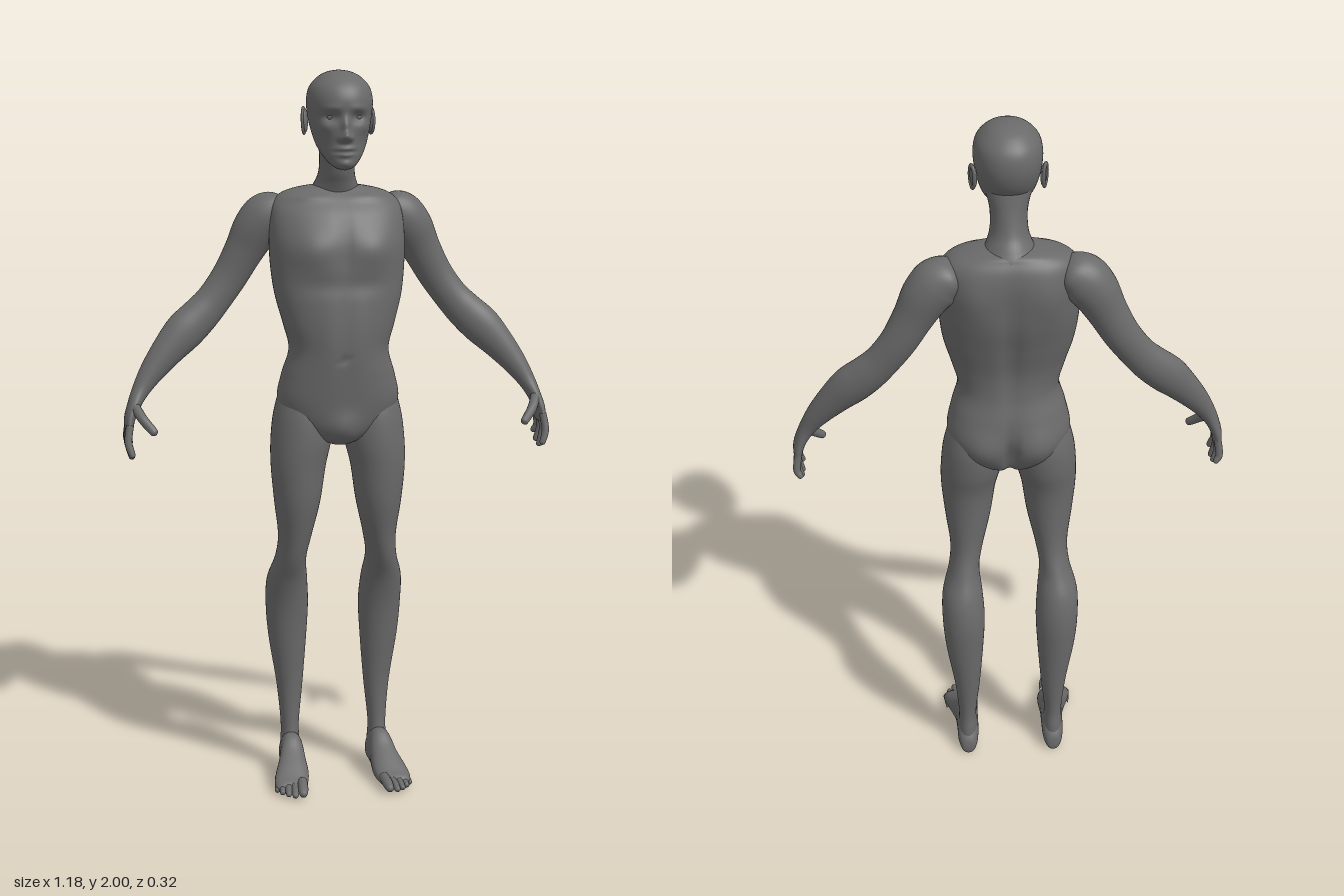
import * as THREE from 'three';

const skin = new THREE.MeshStandardMaterial({ color: 0x6a6a6a });
skin.name = 'grey skin';

// Smooth in-between rows through the given cross-sections
function resample(rows, steps) {
  const out = [];
  const at = (i) => rows[Math.max(0, Math.min(rows.length - 1, i))];
  for (let i = 0; i < rows.length - 1; i++) {
    for (let s = 0; s < steps; s++) {
      const t = s / steps;
      out.push(rows[i].map((p1, k) => {
        const p0 = at(i - 1)[k], p2 = at(i + 1)[k], p3 = at(i + 2)[k];
        return p1 + 0.5 * t * (p2 - p0 + t * (2 * p0 - 5 * p1 + 4 * p2 - p3 + t * (3 * (p1 - p2) + p3 - p0)));
      }));
    }
  }
  out.push(rows[rows.length - 1]);
  return out;
}

// Skin over cross-sections [x, y, z, radiusU, radiusV].
// axis fixes the ring direction; otherwise rings follow the path.
// bumps [x, y, side, sizeX, sizeY, height] push the front (1) or back (-1) along z.
function loft(name, rows, { steps = 6, seg = 32, ref = [0, 0, 1], axis = null, square = 1, bumps = [] } = {}) {
  const rings = resample(rows, steps);
  const pos = [], index = [];
  const T = new THREE.Vector3(), U = new THREE.Vector3(), V = new THREE.Vector3(), p = new THREE.Vector3();
  const soft = (v) => Math.sign(v) * Math.pow(Math.abs(v), square);
  rings.forEach((r, i) => {
    if (axis) T.set(...axis);
    else {
      const a = rings[Math.max(0, i - 1)], b = rings[Math.min(rings.length - 1, i + 1)];
      T.set(b[0] - a[0], b[1] - a[1], b[2] - a[2]).normalize();
    }
    U.crossVectors(T, V.set(...ref)).normalize();
    V.crossVectors(U, T);
    for (let j = 0; j < seg; j++) {
      const th = (j / seg) * Math.PI * 2, c = soft(Math.cos(th)), s = soft(Math.sin(th));
      p.set(r[0], r[1], r[2]).addScaledVector(U, Math.max(0, r[3]) * c).addScaledVector(V, Math.max(0, r[4]) * s);
      let push = 0;
      for (const [bx, by, side, sx, sy, h] of bumps) {
        const facing = Math.min(1, Math.max(0, side * s * 2));
        push += side * h * facing * Math.exp(-(((Math.abs(p.x) - bx) / sx) ** 2) - ((p.y - by) / sy) ** 2);
      }
      pos.push(p.x, p.y, p.z + push);
      if (i < rings.length - 1) {
        const k = (j + 1) % seg, a = i * seg + j, b = a + seg, d = i * seg + k, e = d + seg;
        index.push(a, b, d, b, e, d);
      }
    }
  });
  const g = new THREE.BufferGeometry();
  g.setAttribute('position', new THREE.Float32BufferAttribute(pos, 3));
  g.setIndex(index);
  g.computeVertexNormals();
  const m = new THREE.Mesh(g, skin);
  m.name = name;
  return m;
}

// Upright part from rows [y, innerX, outerX, frontZ, backZ]
const upright = (name, rows, opts) => loft(name,
  rows.map(([y, xi, xo, f, b]) => [(xi + xo) / 2, y, (f + b) / 2, Math.abs(xo - xi) / 2, (f - b) / 2]),
  { axis: [0, 1, 0], ...opts });
const centred = (rows) => rows.map(([y, w, f, b]) => [y, -w, w, f, b]);

// Finger or toe: a tapered tube with a round tip
function digit(name, points, r, ref) {
  const [a, b, c] = points;
  const end = new THREE.Vector3(...c), dir = end.clone().sub(new THREE.Vector3(...b)).normalize();
  const step = (d) => end.clone().addScaledVector(dir, d).toArray();
  return loft(name, [
    [...a, r, r], [...b, r, r], [...step(-r), r * 0.85, r * 0.85],
    [...step(-r * 0.3), r * 0.6, r * 0.6], [...c, 0, 0],
  ], { steps: 4, seg: 12, ref });
}

function buildTorso() {
  return upright('torso', centred([
    [0.98, 0, 0.01, 0], [0.99, 0.035, 0.055, -0.05], [1.01, 0.08, 0.078, -0.09], [1.05, 0.14, 0.09, -0.113],
    [1.11, 0.168, 0.1, -0.125], [1.18, 0.156, 0.108, -0.122], [1.25, 0.137, 0.113, -0.108],
    [1.32, 0.153, 0.113, -0.107], [1.4, 0.174, 0.108, -0.125], [1.48, 0.184, 0.102, -0.145],
    [1.55, 0.186, 0.095, -0.152], [1.61, 0.183, 0.07, -0.154], [1.65, 0.172, 0.038, -0.148],
    [1.675, 0.14, 0.01, -0.135], [1.69, 0.08, -0.01, -0.12], [1.697, 0, -0.06, -0.07],
  ]), {
    steps: 7, seg: 72, square: 0.85,
    bumps: [
      [0.085, 1.52, 1, 0.06, 0.05, 0.014], // chest muscles
      [0, 1.54, 1, 0.015, 0.08, -0.006],
      [0.05, 1.43, 1, 0.07, 0.025, -0.005],
      [0.04, 1.3, 1, 0.03, 0.12, 0.004], // stomach
      [0, 1.23, 1, 0.009, 0.009, -0.008], // navel
      [0, 1.04, 1, 0.04, 0.04, 0.016], // groin
      [0.085, 1.665, 1, 0.06, 0.012, 0.008], // collarbones
      [0.1, 1.57, -1, 0.05, 0.07, 0.012], // shoulder blades
      [0, 1.42, -1, 0.022, 0.18, -0.013], // spine
      [0.08, 1.09, -1, 0.06, 0.065, 0.022], // buttocks
      [0, 1.06, -1, 0.014, 0.07, -0.03],
    ],
  });
}

function buildHead() {
  const head = new THREE.Group();
  head.name = 'head';
  head.add(upright('skull and face', centred([
    [1.738, 0, 0.105, 0.095], [1.745, 0.024, 0.117, 0.07], [1.765, 0.045, 0.122, 0.025],
    [1.8, 0.065, 0.122, -0.03], [1.84, 0.077, 0.124, -0.07], [1.88, 0.085, 0.124, -0.09],
    [1.92, 0.088, 0.127, -0.095], [1.955, 0.08, 0.112, -0.086], [1.982, 0.056, 0.08, -0.06],
    [1.995, 0.03, 0.045, -0.03], [2.0, 0, 0.008, 0.002],
  ]), {
    steps: 9, seg: 112, square: 0.93,
    bumps: [
      [0, 1.827, 1, 0.012, 0.013, 0.028], [0, 1.855, 1, 0.01, 0.022, 0.016], [0.013, 1.822, 1, 0.007, 0.007, 0.011], // nose
      [0.036, 1.876, 1, 0.02, 0.013, -0.014], [0.036, 1.9, 1, 0.026, 0.009, 0.004], // sockets and brows
      [0, 1.795, 1, 0.023, 0.006, 0.009], [0, 1.779, 1, 0.02, 0.006, 0.008], [0, 1.787, 1, 0.026, 0.003, -0.005], // lips
      [0, 1.755, 1, 0.022, 0.011, 0.006], // chin
      [0.055, 1.81, 1, 0.02, 0.025, -0.006], [0.055, 1.85, 1, 0.018, 0.014, 0.005], // cheeks
    ],
  }));
  head.add(upright('neck', centred([
    [1.62, 0.1, -0.01, -0.14], [1.67, 0.075, 0.008, -0.135], [1.7, 0.058, 0.02, -0.118],
    [1.73, 0.049, 0.033, -0.096], [1.78, 0.049, 0.042, -0.079], [1.84, 0.06, 0.03, -0.066], [1.88, 0.05, 0.02, -0.06],
  ])));
  for (const s of [1, -1]) {
    const eye = new THREE.Mesh(new THREE.SphereGeometry(0.013, 20, 14), skin);
    eye.name = 'eye';
    eye.position.set(s * 0.036, 1.877, 0.091);
    const ear = new THREE.Group();
    ear.name = 'ear';
    const lobe = new THREE.Mesh(new THREE.SphereGeometry(1, 20, 14), skin);
    lobe.scale.set(0.007, 0.033, 0.018);
    const rim = new THREE.Mesh(new THREE.TorusGeometry(0.016, 0.0045, 8, 28), skin);
    rim.rotation.y = Math.PI / 2;
    rim.scale.y = 1.9;
    rim.position.x = s * 0.004;
    ear.add(lobe, rim);
    ear.position.set(s * 0.088, 1.866, -0.016);
    ear.rotation.set(-0.15, s * 0.35, 0);
    head.add(eye, ear);
  }
  return head;
}

function buildArm(s) {
  const arm = new THREE.Group();
  arm.name = s > 0 ? 'leftArm' : 'rightArm';
  const flip = ([x, ...rest]) => [s * x, ...rest];
  arm.add(loft('arm and palm', [
    [0.125, 1.635, -0.085, 0, 0], [0.14, 1.63, -0.085, 0.04, 0.05], [0.18, 1.61, -0.085, 0.065, 0.062],
    [0.215, 1.572, -0.088, 0.064, 0.06], [0.25, 1.51, -0.092, 0.054, 0.048], [0.29, 1.44, -0.094, 0.049, 0.041],
    [0.335, 1.378, -0.088, 0.048, 0.038], [0.375, 1.335, -0.08, 0.052, 0.04], [0.42, 1.293, -0.068, 0.054, 0.041],
    [0.465, 1.245, -0.055, 0.045, 0.036], [0.51, 1.19, -0.041, 0.034, 0.03], [0.543, 1.14, -0.028, 0.024, 0.027],
    [0.563, 1.1, -0.017, 0.018, 0.036], [0.575, 1.065, -0.01, 0.015, 0.044], [0.577, 1.035, -0.006, 0.01, 0.042],
    [0.577, 1.025, -0.006, 0, 0],
  ].map(flip)));
  // Four fingers: base z, tip z, tip height
  [[-0.042, -0.058, 0.985], [-0.017, -0.022, 0.965], [0.008, 0.015, 0.957], [0.031, 0.05, 0.968]].forEach(([z0, z1, y]) => {
    arm.add(digit('finger', [[0.576, 1.055, z0], [0.582, 1.01, (z0 + z1) / 2], [0.57, y, z1]].map(flip), 0.0105, [0, 0, 1]));
  });
  arm.add(digit('thumb', [[0.562, 1.105, 0], [0.543, 1.075, 0.042], [0.508, 1.035, 0.075]].map(flip), 0.0135, [0, 1, 0]));
  return arm;
}

function buildLeg(s) {
  const leg = new THREE.Group();
  leg.name = s > 0 ? 'leftLeg' : 'rightLeg';
  const flip = ([x, ...rest]) => [s * x, ...rest];
  leg.add(upright('leg', [
    [0.03, 0.1, 0.156, -0.05, -0.138], [0.08, 0.1, 0.156, -0.048, -0.135], [0.14, 0.102, 0.154, -0.06, -0.13],
    [0.26, 0.09, 0.165, -0.06, -0.142], [0.4, 0.079, 0.187, -0.045, -0.156], [0.5, 0.074, 0.195, -0.03, -0.161],
    [0.58, 0.079, 0.193, -0.007, -0.148], [0.65, 0.086, 0.173, 0.025, -0.115], [0.72, 0.074, 0.167, 0.046, -0.092],
    [0.82, 0.051, 0.179, 0.07, -0.088], [0.92, 0.036, 0.188, 0.08, -0.094], [1.0, 0.018, 0.187, 0.083, -0.112],
    [1.08, 0.018, 0.176, 0.075, -0.115], [1.15, 0.03, 0.15, 0.05, -0.09], [1.18, 0.085, 0.095, 0, -0.01],
  ].map(([y, a, b, f, k]) => [y, s * a, s * b, f, k]), { seg: 40 }));
  // Foot rows: x, z, half width, top height
  leg.add(loft('foot', [
    [0.128, -0.148, 0, 0.04], [0.128, -0.143, 0.018, 0.05], [0.128, -0.12, 0.029, 0.08], [0.128, -0.08, 0.032, 0.115],
    [0.13, -0.035, 0.034, 0.122], [0.134, 0.005, 0.04, 0.092], [0.14, 0.045, 0.047, 0.066],
    [0.147, 0.08, 0.047, 0.043], [0.15, 0.105, 0.036, 0.028], [0.15, 0.115, 0, 0.016],
  ].map(([x, z, w, top]) => [s * x, top / 2, z, w, w ? top / 2 : 0]), { ref: [0, 1, 0], axis: [0, 0, 1], square: 0.85 }));
  // Toes: base x, tip x, tip z, radius
  [[0.117, 0.124, 0.162, 0.0145], [0.138, 0.146, 0.158, 0.0105], [0.154, 0.163, 0.145, 0.01],
    [0.168, 0.178, 0.127, 0.0095], [0.179, 0.19, 0.106, 0.009]].forEach(([x0, x1, z, r]) => {
    leg.add(digit('toe', [[x0, r + 0.012, z - 0.075], [(x0 + x1) / 2, r + 0.008, z - 0.035], [x1, r, z]].map(flip), r, [0, 1, 0]));
  });
  return leg;
}

export function createModel() {
  const figure = new THREE.Group();
  figure.name = 'standing figure';
  figure.add(buildTorso(), buildHead());
  for (const s of [1, -1]) figure.add(buildArm(s), buildLeg(s));
  return figure;
}
